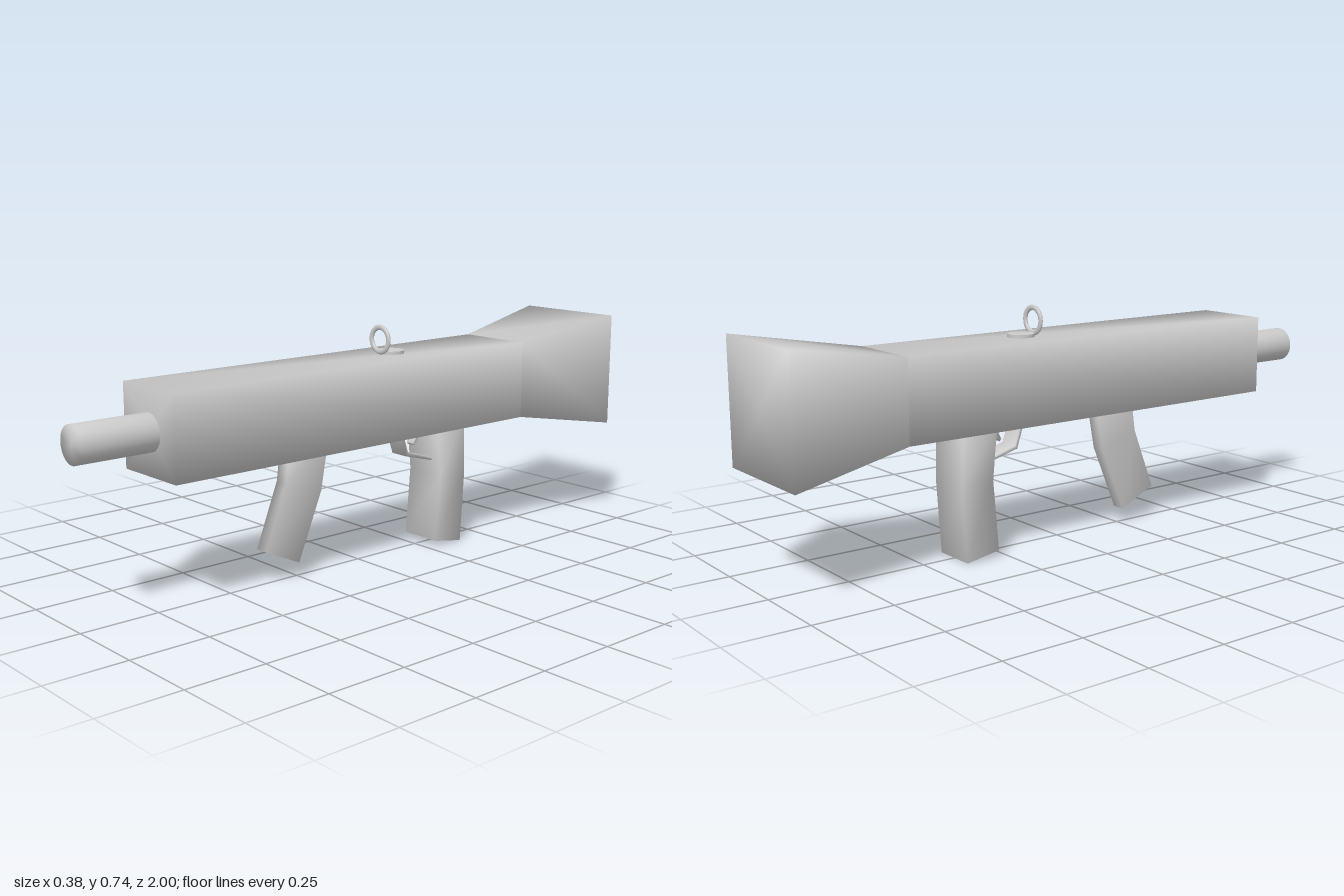
import * as THREE from 'three';

const material = new THREE.MeshStandardMaterial({ color: 0xcccccc });

// Closed solid through equal-sized rings of [x, y, z]; shared vertices give soft normals
function loft(name, rings) {
  const n = rings[0].length;
  const last = (rings.length - 1) * n;
  const centre = (ring) => [0, 1, 2].map((k) => ring.reduce((s, p) => s + p[k], 0) / n);
  const points = [...rings.flat(), centre(rings[0]), centre(rings[rings.length - 1])];
  const start = last + n;
  const index = [];
  for (let i = 0; i < n; i++) {
    const j = (i + 1) % n;
    for (let r = 0; r < last; r += n) {
      index.push(r + i, r + j, r + n + j, r + i, r + n + j, r + n + i);
    }
    index.push(start, j, i, start + 1, last + i, last + j);
  }
  const geometry = new THREE.BufferGeometry();
  geometry.setAttribute('position', new THREE.Float32BufferAttribute(points.flat(), 3));
  geometry.setIndex(index);
  geometry.computeVertexNormals();
  return mesh(name, geometry);
}

function mesh(name, geometry) {
  const m = new THREE.Mesh(geometry, material);
  m.name = name;
  return m;
}

const AXIS = 0.524;

// Square section across the launcher axis
const square = (half, z) =>
  [[1, -1], [1, 1], [-1, 1], [-1, -1]].map(([x, y]) => [x * half, AXIS + y * half, z]);

// Round section across the launcher axis
const circle = (radius, z, sides = 32) =>
  Array.from({ length: sides }, (_, i) => {
    const a = (i / sides) * Math.PI * 2;
    return [Math.cos(a) * radius, AXIS + Math.sin(a) * radius, z];
  });

// Bar of constant width; each row is [front z, front y, back z, back y]
const bar = (name, w, rows) =>
  loft(name, rows.map(([fz, fy, bz, by]) => [[w, by, bz], [w, fy, fz], [-w, fy, fz], [-w, by, bz]]));

export function createModel() {
  const model = new THREE.Group();
  model.name = 'launcher';

  // Square tube, flared rear and round muzzle
  model.add(
    loft('body', [square(0.126, -0.615), square(0.126, 0.76)]),
    loft('rearFlare', [square(0.189, -1), square(0.126, -0.615)]),
    loft('muzzle', [circle(0.056, 0.74), circle(0.056, 1)]),
  );

  // Hand grips
  model.add(
    bar('frontGrip', 0.022, [
      [0.29, 0.41, 0.14, 0.41],
      [0.305, 0.305, 0.168, 0.26],
      [0.383, 0.106, 0.257, 0.048],
    ]),
    bar('rearGrip', 0.071, [
      [-0.278, 0.41, -0.4, 0.41],
      [-0.295, 0.24, -0.406, 0.235],
      [-0.276, 0.02, -0.39, 0],
    ]),
  );

  // Trigger and its guard strap
  model.add(
    bar('triggerGuard', 0.033, [
      [-0.148, 0.405, -0.158, 0.405],
      [-0.178, 0.314, -0.186, 0.324],
      [-0.295, 0.283, -0.295, 0.293],
    ]),
    bar('trigger', 0.014, [
      [-0.237, 0.405, -0.251, 0.405],
      [-0.236, 0.37, -0.249, 0.365],
      [-0.224, 0.348, -0.229, 0.34],
    ]),
  );

  // Ring sight on a round foot
  const sight = new THREE.Group();
  sight.name = 'sight';
  const foot = mesh('sightFoot', new THREE.CylinderGeometry(0.042, 0.042, 0.01, 24));
  foot.position.set(0, 0.655, -0.138);
  const ring = mesh('sightRing', new THREE.TorusGeometry(0.0385, 0.0088, 10, 32));
  ring.scale.z = 0.6;
  ring.position.set(0, 0.697, -0.092);
  sight.add(foot, ring);
  model.add(sight);

  return model;
}
